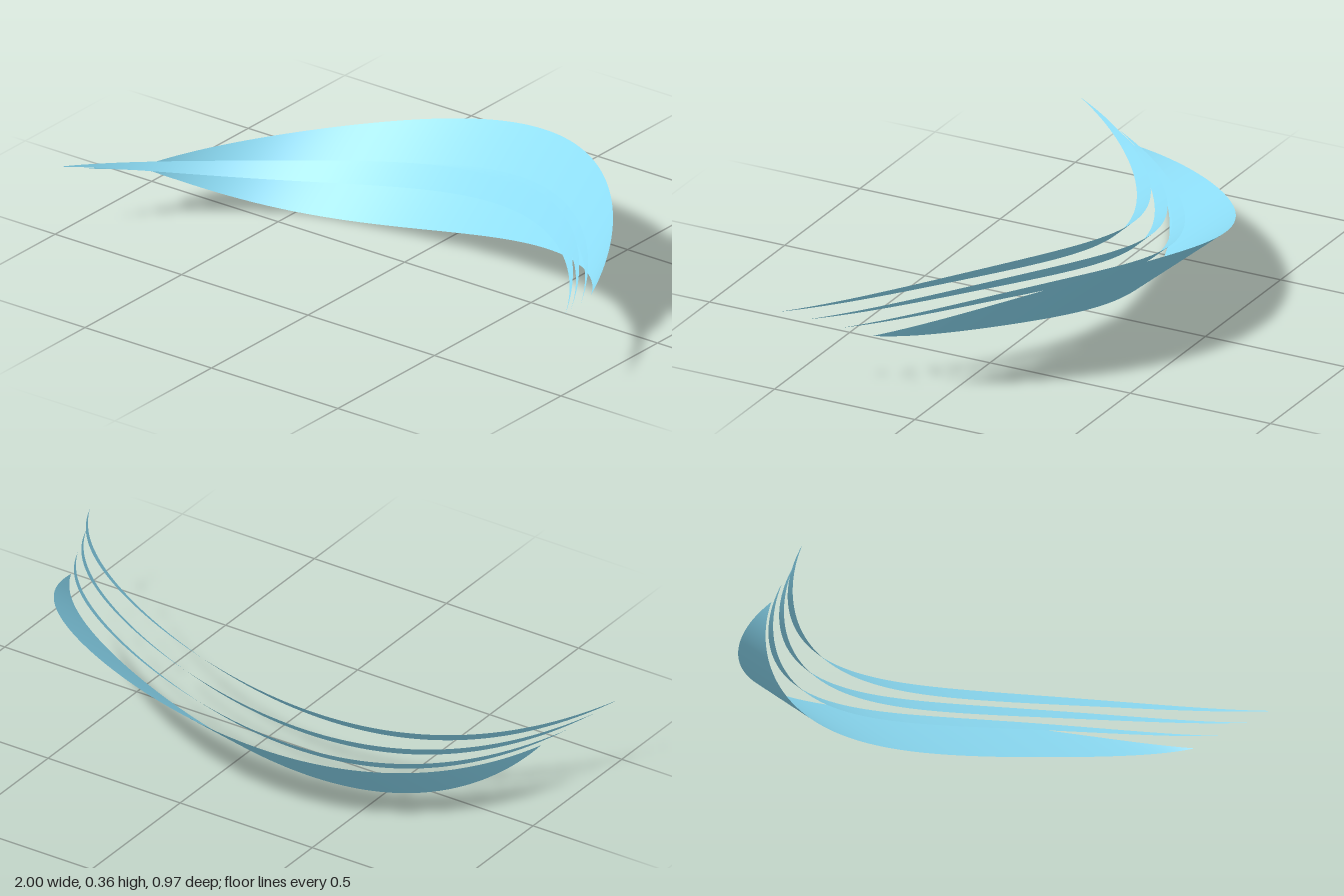
import * as THREE from 'three';

const material = new THREE.MeshStandardMaterial({ color: 0x8cdcf5, side: THREE.DoubleSide });

// One curved, S-twisted crescent sheet tapering to a point at both ends.
// tip: [x, y, z] of the end points; backZ: rear edge at x = 0;
// depth and rise: width of the sheet at x = 0 along z and y.
function crescent(name, { tip, backZ, depth, top, bottom }) {
  const [tx, ty, tz] = tip;
  const sag = tz - backZ;
  const radius = (tx * tx + sag * sag) / (2 * sag);
  const maxAngle = Math.asin(tx / radius);

  const geometry = new THREE.PlaneGeometry(2, 1, 96, 4);
  const pos = geometry.attributes.position;
  for (let i = 0; i < pos.count; i++) {
    const t = pos.getX(i);           // -1 .. 1 along the arc
    const v = 0.5 - pos.getY(i);     // 0 at rear upper edge, 1 at front lower edge
    const taper = Math.max(0, Math.cos(t * Math.PI / 2));
    const angle = t * maxAngle;
    const twist = 0.067 * Math.sin(Math.PI * t) + 0.022 * t;
    pos.setXYZ(
      i,
      radius * Math.sin(angle),
      ty + THREE.MathUtils.lerp(top - ty, bottom - ty, v) * taper + twist,
      backZ + radius * (1 - Math.cos(angle)) + depth * v * taper
    );
  }
  geometry.computeVertexNormals();
  const mesh = new THREE.Mesh(geometry, material);
  mesh.name = name;
  return mesh;
}

export function createModel() {
  const group = new THREE.Group();
  group.name = 'crescentSlash';

  // Broad rear blade
  group.add(crescent('mainBlade',
    { tip: [0.89, 0.18, 0.21], backZ: -0.485, depth: 0.32, top: 0.315, bottom: 0.05 }));

  // Three narrow blades stepping forward and up
  const steps = [
    { tip: [0.925, 0.203, 0.30], backZ: -0.29, depth: 0.062, top: 0.23, bottom: 0.175 },
    { tip: [0.96, 0.225, 0.40], backZ: -0.224, depth: 0.06, top: 0.254, bottom: 0.198 },
    { tip: [1.0, 0.25, 0.48], backZ: -0.157, depth: 0.066, top: 0.28, bottom: 0.22 },
  ];
  steps.forEach((s, i) => group.add(crescent(`narrowBlade${i + 1}`, s)));

  return group;
}
